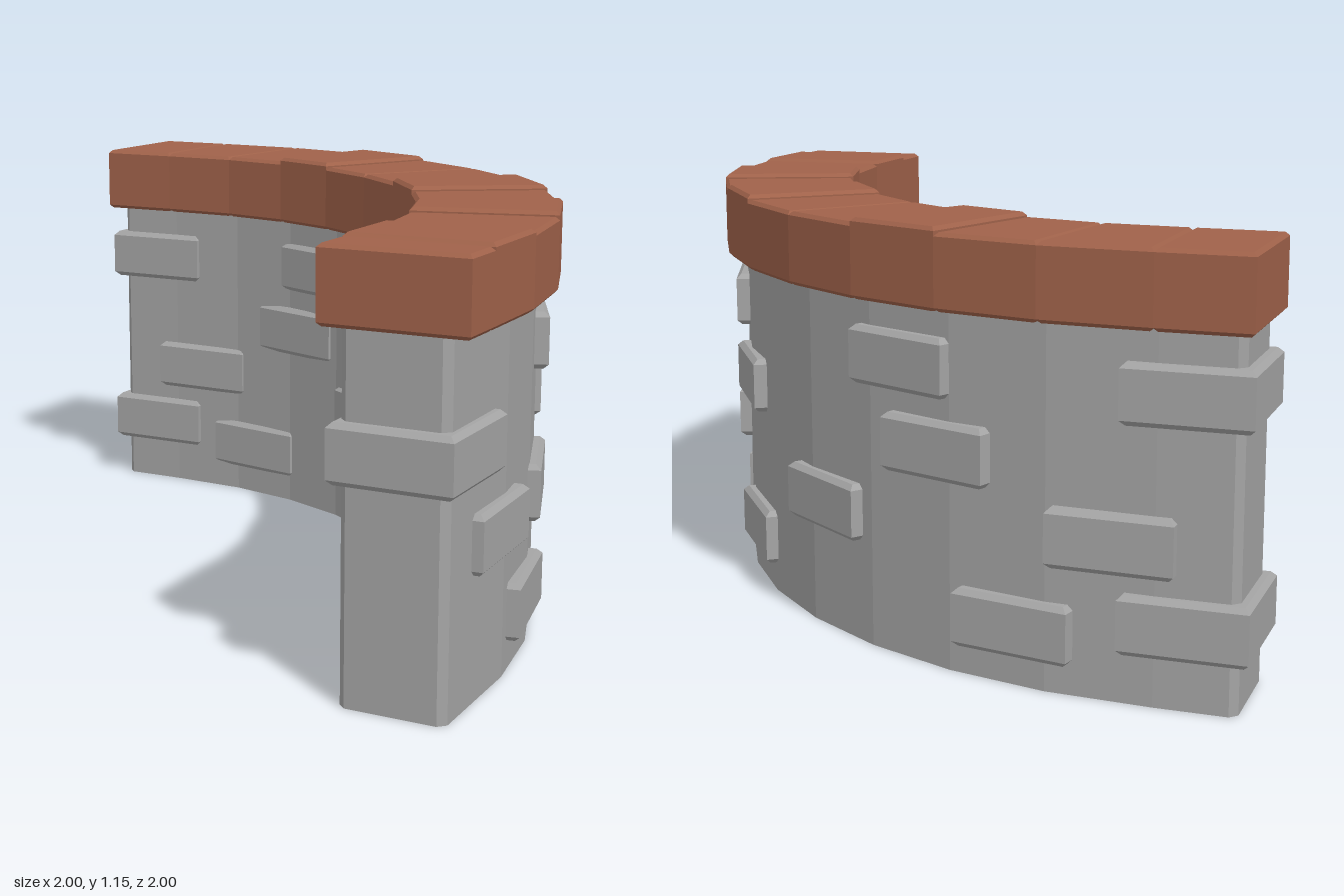
import * as THREE from 'three';

const CX = -0.7, CZ = 0.7; // centre of the curve in plan
const rad = THREE.MathUtils.degToRad;

// Plan sections: each maps a radius to an [x, z] point across the wall
const alongX = (x) => (r) => [x, CZ - r];
const alongZ = (z) => (r) => [CX + r, z];
const onArc = (deg) => (r) => [CX + r * Math.sin(rad(deg)), CZ - r * Math.cos(rad(deg))];
const arc = Array.from({ length: 9 }, (_, i) => onArc(7.8 + 9.82 * i));

// Upright block with chamfered edges, from plan corners
function block(corners, height, bevel) {
  const shape = new THREE.Shape(corners.map(([x, z]) => new THREE.Vector2(x, -z)));
  const geo = new THREE.ExtrudeGeometry(shape, {
    depth: height - 2 * bevel, bevelEnabled: true, bevelSegments: 1,
    bevelSize: bevel, bevelThickness: bevel, bevelOffset: -bevel,
  });
  return geo.rotateX(-Math.PI / 2).translate(0, bevel, 0);
}

// Hollow wall skin, open at the bottom, with chamfered end corners
function wallSkin(height) {
  const inner = 1.355, outer = 1.64, c = 0.02;
  const mid = [alongX(-0.95), alongX(-0.76), ...arc, alongZ(0.95)];
  const start = alongX(-0.97), end = alongZ(0.97);
  const loop = [
    start(outer - c), ...mid.map((s) => s(outer)), end(outer - c),
    end(inner + c), ...mid.map((s) => s(inner)).reverse(), start(inner + c),
  ];
  const pos = [];
  loop.forEach(([ax, az], i) => {
    const [bx, bz] = loop[(i + 1) % loop.length];
    pos.push(ax, 0, az, ax, height, az, bx, height, bz);
    pos.push(ax, 0, az, bx, height, bz, bx, 0, bz);
  });
  const geo = new THREE.BufferGeometry();
  geo.setAttribute('position', new THREE.Float32BufferAttribute(pos, 3));
  geo.computeVertexNormals();
  return geo;
}

export function createModel() {
  const grey = new THREE.MeshStandardMaterial({ color: 0xa4a4a4, side: THREE.DoubleSide });
  grey.name = 'stoneGrey';
  const brown = new THREE.MeshStandardMaterial({ color: 0xa0624a });
  brown.name = 'clayBrown';

  const model = new THREE.Group();
  model.name = 'curvedWall';
  const add = (parent, name, geo, mat) => {
    const mesh = new THREE.Mesh(geo, mat);
    mesh.name = name;
    parent.add(mesh);
    return mesh;
  };

  add(model, 'wall', wallSkin(0.96), grey);

  // Coping blocks along the top, a few standing slightly taller
  const coping = new THREE.Group();
  coping.name = 'coping';
  model.add(coping);
  const joints = [alongX(-1), alongX(-0.76), ...arc, alongZ(0.86), alongZ(1)];
  const extra = { 3: 0.013, 6: 0.013, 8: 0.013, 10: 0.008 };
  for (let i = 0; i < joints.length - 1; i++) {
    const a = joints[i], b = joints[i + 1];
    const geo = block([a(1.7), b(1.7), b(1.31), a(1.31)], 0.197 + (extra[i] || 0), 0.01);
    add(coping, 'copingBlock', geo, brown).position.y = 0.944;
  }

  // Stones running right through the wall: [angle in degrees, bottom height]
  const stones = new THREE.Group();
  stones.name = 'stones';
  model.add(stones);
  const h = 0.165;
  const stoneGeo = block([[-h, -h], [h, -h], [h, h], [-h, h]], 0.155, 0.014);
  const placeStone = ([x, z], y, deg) => {
    const stone = add(stones, 'stone', stoneGeo, grey);
    stone.position.set(x, y, z);
    stone.rotation.y = -rad(deg);
  };
  [
    [1.8, 0.33], [11, 0.08], [19.2, 0.502], [23.4, 0.715], [34.7, 0.28], [52.4, 0.083],
    [55.6, 0.513], [66.6, 0.715], [71.5, 0.335], [79.2, 0.08], [88.3, 0.33],
  ].forEach(([deg, y]) => placeStone(onArc(deg)(1.5), y, deg));

  // Stones capping the two wall ends
  placeStone(alongX(-0.835)(1.5), 0.705, 0);
  placeStone(alongX(-0.835)(1.5), 0.13, 0);
  placeStone(alongZ(0.835)(1.5), 0.563, 90);

  return model;
}
